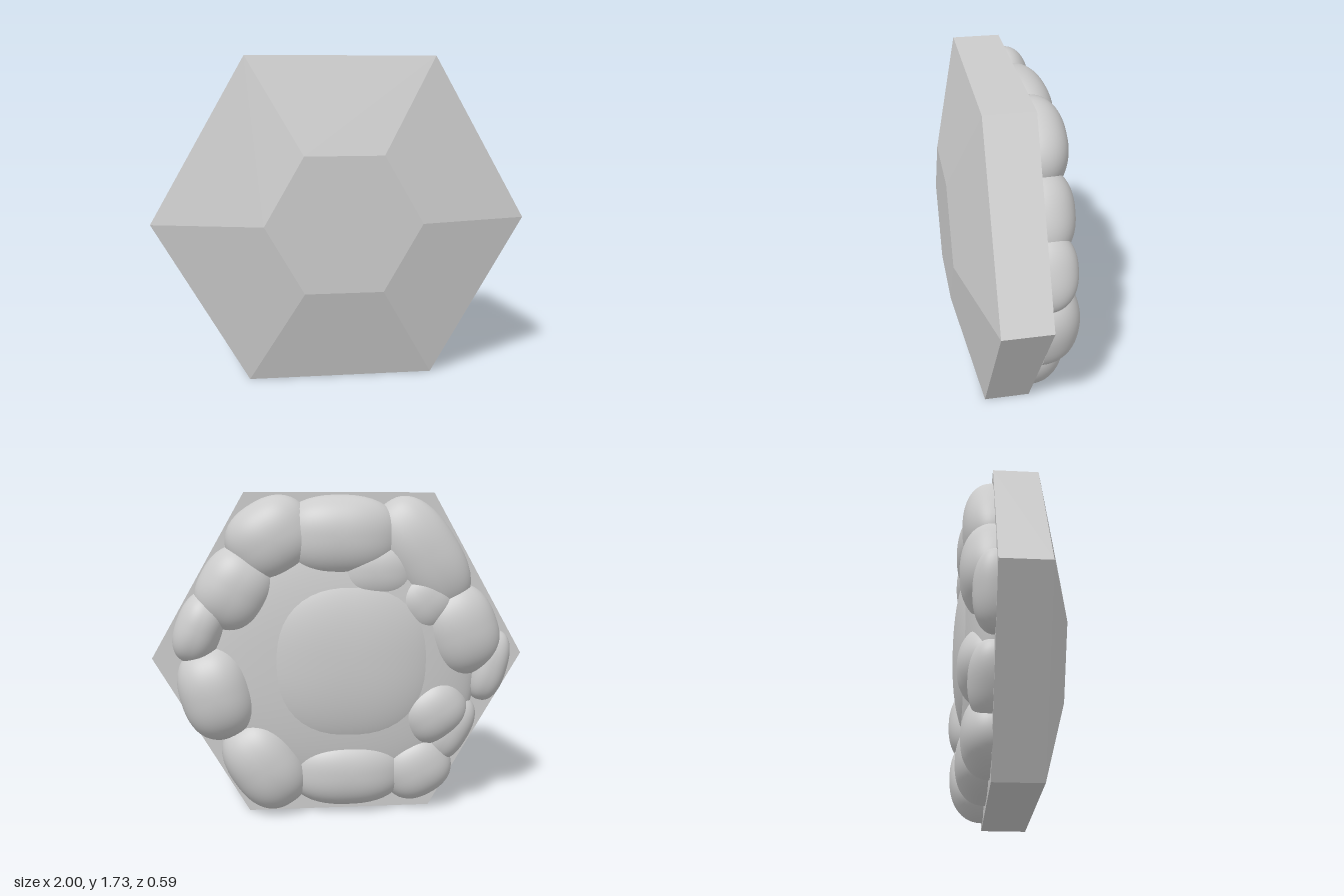
import * as THREE from 'three';
import { mergeVertices } from 'three/addons/utils/BufferGeometryUtils.js';

const CENTRE_Y = 0.866, BACK_Z = -0.09;

// Puffy half dome of radius 1 with a slightly squared outline, bulging towards -z
function domeGeometry() {
  const geo = new THREE.SphereGeometry(1, 48, 20, 0, Math.PI * 2, 0, Math.PI / 2);
  geo.rotateX(-Math.PI / 2);
  const p = geo.attributes.position;
  const n = 2.4;
  for (let i = 0; i < p.count; i++) {
    const x = p.getX(i), y = p.getY(i), r = Math.hypot(x, y);
    const squared = Math.pow(Math.abs(x) ** n + Math.abs(y) ** n, 1 / n);
    const k = r > 1e-4 ? Math.pow(r, 0.88) / squared : 0;
    p.setXYZ(i, x * k, y * k, -Math.pow(Math.max(0, -p.getZ(i)), 0.88));
  }
  geo.deleteAttribute('uv');
  geo.deleteAttribute('normal');
  const welded = mergeVertices(geo, 1e-4);
  welded.computeVertexNormals();
  return welded;
}

export function createModel() {
  const model = new THREE.Group();
  const faceted = new THREE.MeshStandardMaterial({ color: 0xcccccc, flatShading: true });
  const smooth = new THREE.MeshStandardMaterial({ color: 0xcccccc });

  // Hexagonal tile: straight slab, then a sloping front with a small flat face
  const hexPart = (name, frontR, z0, z1, open) => {
    const geo = new THREE.CylinderGeometry(frontR, 1, z1 - z0, 6, 1, open, Math.PI / 2);
    geo.rotateX(Math.PI / 2);
    const mesh = new THREE.Mesh(geo, faceted);
    mesh.name = name;
    mesh.position.set(0, CENTRE_Y, (z0 + z1) / 2);
    model.add(mesh);
  };
  hexPart('slab', 1, BACK_Z, 0.158, false);
  hexPart('bevelledFront', 0.416, 0.158, 0.298, false);

  // Rounded stones on the back: x, y, half length, half width, depth, turn
  const dome = domeGeometry();
  const addStone = (name, [x, y, rx, ry, depth, turn = 0]) => {
    const mesh = new THREE.Mesh(dome, smooth);
    mesh.name = name;
    mesh.position.set(x, y, BACK_Z + 0.003);
    mesh.scale.set(rx, ry, depth);
    mesh.rotation.z = turn;
    model.add(mesh);
  };

  // Low mound between the stones, and the broad stone in the middle
  addStone('mound', [-0.01, 0.86, 0.74, 0.74, 0.155]);
  addStone('centreStone', [-0.04, 0.855, 0.52, 0.52, 0.192]);

  // Stones following the edges of the hexagon
  const ring = [
    [0.36, 1.49, 0.24, 0.21, 0.18, -0.54],
    [0, 1.5, 0.32, 0.22, 0.185],
    [-0.44, 1.4, 0.34, 0.2, 0.16, 0.98],
    [-0.65, 1.0, 0.25, 0.21, 0.17, 1.2],
    [-0.82, 0.8, 0.2, 0.1, 0.11, 1.83],
    [-0.6, 0.45, 0.2, 0.12, 0.12, 2.09],
    [-0.42, 0.24, 0.2, 0.18, 0.145, -0.5],
    [-0.04, 0.23, 0.32, 0.2, 0.165],
    [0.41, 0.28, 0.27, 0.2, 0.19, 1.0],
    [0.66, 0.68, 0.26, 0.2, 0.205, 1.3],
    [0.74, 1.03, 0.2, 0.13, 0.165, 1.95],
    [0.55, 1.23, 0.23, 0.2, 0.182, 2.09],
  ];
  ring.forEach((s) => addStone('ringStone', s));

  // Smaller stones wedged between the ring and the centre
  const wedges = [
    [-0.18, 1.32, 0.24, 0.18, 0.155],
    [-0.44, 1.16, 0.18, 0.17, 0.155, 0.8],
    [-0.5, 0.56, 0.2, 0.18, 0.17, -0.6],
  ];
  wedges.forEach((s) => addStone('wedgeStone', s));

  return model;
}
